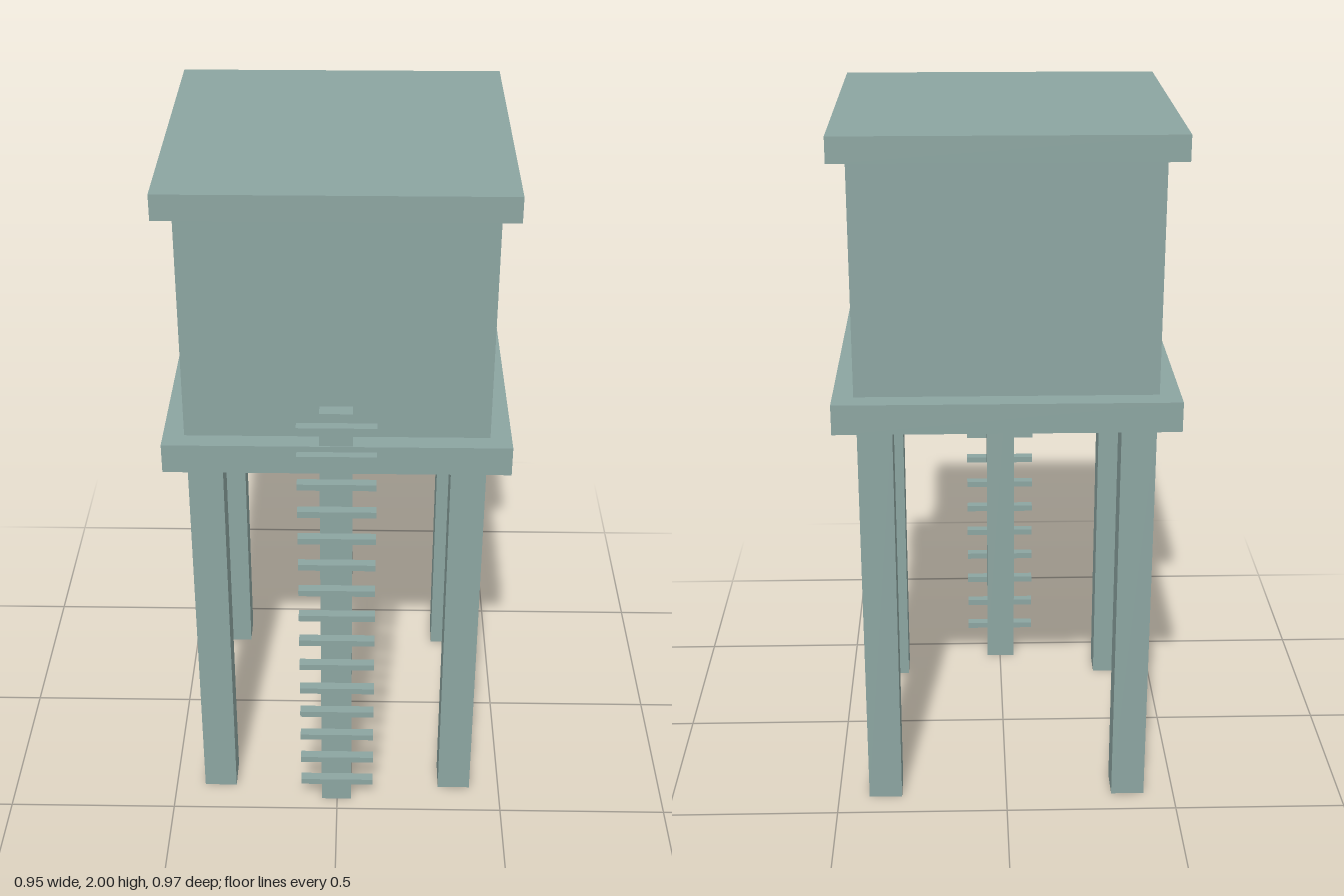
import * as THREE from 'three';

export function createModel() {
  const model = new THREE.Group();
  model.name = 'waterTower';
  const paint = new THREE.MeshStandardMaterial({ color: 0x8ca5a1 });
  paint.name = 'grey green';

  // Box given by its size, centre x and z, and bottom height
  function addBox(name, parent, [w, h, d], x, bottom, z) {
    const mesh = new THREE.Mesh(new THREE.BoxGeometry(w, h, d), paint);
    mesh.name = name;
    mesh.position.set(x, bottom + h / 2, z);
    parent.add(mesh);
  }

  // The tower sits slightly back so that the ladder fits in the depth
  const towerZ = -0.01;

  // Tank, lid and platform
  addBox('platform', model, [0.946, 0.085, 0.945], 0, 1.195, towerZ - 0.002);
  addBox('tank', model, [0.83, 0.66, 0.83], 0, 1.275, towerZ + 0.002);
  addBox('roof', model, [0.926, 0.07, 0.931], -0.002, 1.93, towerZ - 0.003);

  // Four square legs
  const legs = new THREE.Group();
  legs.name = 'legs';
  model.add(legs);
  for (const sx of [-1, 1]) {
    for (const sz of [-1, 1]) {
      addBox('leg', legs, [0.097, 1.2, 0.098], sx * 0.362 - 0.001, 0, towerZ + sz * 0.362);
    }
  }

  // Ladder: one central post with rungs on its front face
  const ladder = new THREE.Group();
  ladder.name = 'ladder';
  model.add(ladder);
  addBox('ladderPost', ladder, [0.09, 1.38, 0.04], -0.002, 0, 0.437);
  for (let i = 0; i < 15; i++) {
    addBox('rung', ladder, [0.217, 0.019, 0.028], 0, 0.086 + i * 0.0891, 0.471);
  }
  return model;
}
